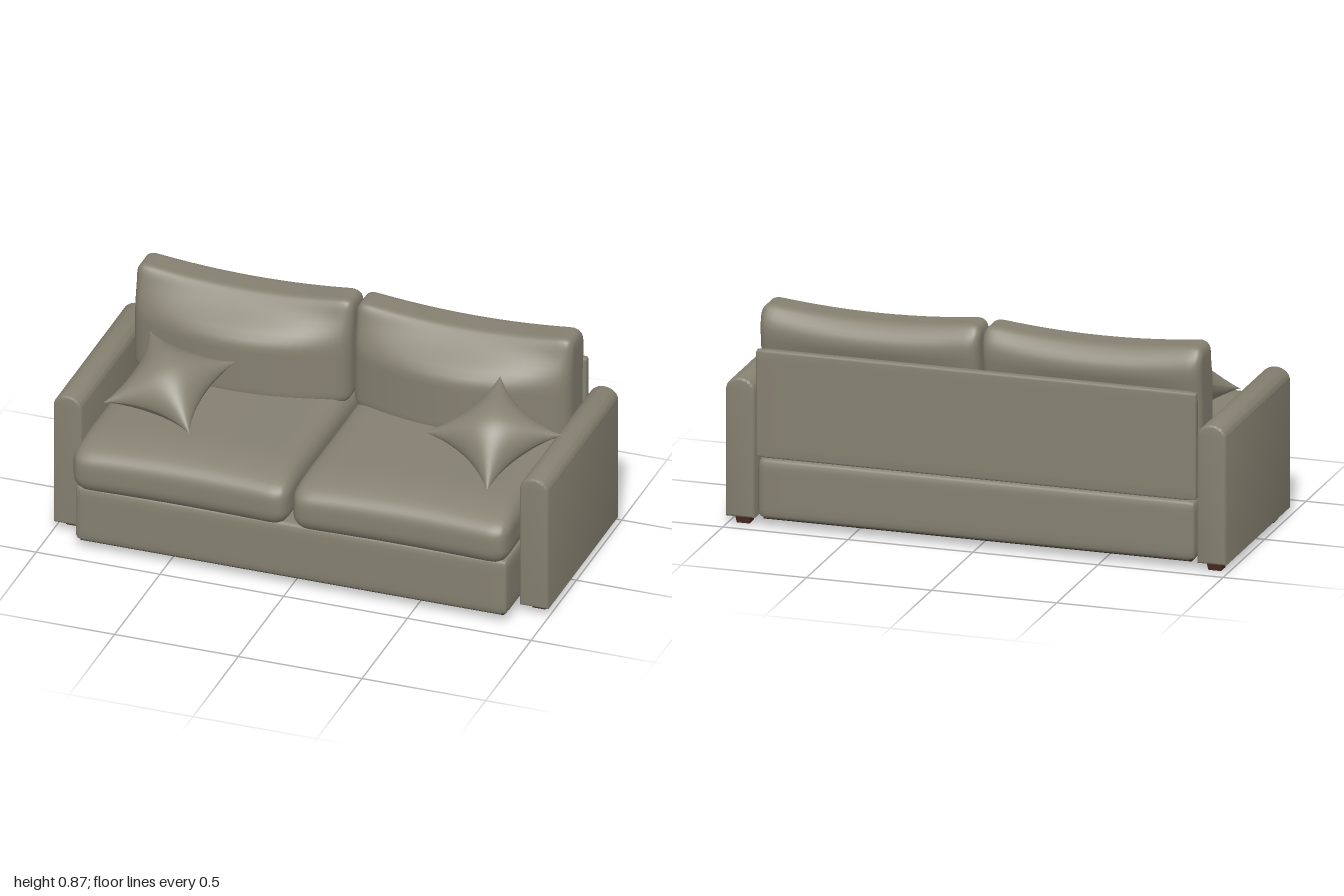
import * as THREE from 'three';
import { mergeVertices, mergeGeometries, toCreasedNormals } from 'three/addons/utils/BufferGeometryUtils.js';

const fabric = new THREE.MeshStandardMaterial({ color: 0x858070 });
fabric.name = 'taupe fabric';
const wood = new THREE.MeshStandardMaterial({ color: 0x4a2c22 });
wood.name = 'dark wood';
const lining = new THREE.MeshStandardMaterial({ color: 0x2e211b });
lining.name = 'underside lining';

const { clamp, lerp, smoothstep } = THREE.MathUtils;

// Rounded box with evenly curved, dense edges; warp(p, half) reshapes each point
function softBox(w, h, d, r, n, warp) {
  let geo = new THREE.BoxGeometry(2, 2, 2, n, n, n);
  geo.deleteAttribute('uv');
  geo.deleteAttribute('normal');
  geo = mergeVertices(geo, 1e-4);
  const half = new THREE.Vector3(w / 2, h / 2, d / 2);
  const pos = geo.attributes.position;
  const p = new THREE.Vector3();
  const q = new THREE.Vector3();
  for (let i = 0; i < pos.count; i++) {
    p.fromBufferAttribute(pos, i);
    for (const a of ['x', 'y', 'z']) {
      p[a] = Math.sin(p[a] * Math.PI / 2) * half[a];
      q[a] = clamp(p[a], r - half[a], half[a] - r);
    }
    p.sub(q).setLength(r).add(q);
    if (warp) warp(p, half);
    pos.setXYZ(i, p.x, p.y, p.z);
  }
  geo.computeVertexNormals();
  return geo;
}

function add(parent, name, geo, material, x = 0, y = 0, z = 0) {
  const mesh = new THREE.Mesh(geo, material);
  mesh.name = name;
  mesh.position.set(x, y, z);
  parent.add(mesh);
  return mesh;
}

// Upright slab with a domed top and a narrow bevel all round
function armGeometry() {
  const b = 0.01, w = 0.0575 - b, y0 = 0.035 + b, y1 = 0.54;
  const s = new THREE.Shape();
  s.moveTo(-w, y0);
  s.lineTo(w, y0);
  s.lineTo(w, y1);
  s.absellipse(0, y1, w, 0.59 - b - y1, 0, Math.PI, false);
  s.lineTo(-w, y0);
  const geo = new THREE.ExtrudeGeometry(s, {
    depth: 0.785 - 2 * b, bevelEnabled: true, bevelSize: b, bevelThickness: b,
    bevelSegments: 3, curveSegments: 20,
  });
  geo.translate(0, 0, -0.47 + b);
  return toCreasedNormals(geo, 0.7);
}

// Seat cushion: gently crowned, with a full rolled front edge
function seatWarp(p, half) {
  const u = p.x / half.x, v = p.y / half.y, w = p.z / half.z;
  const front = smoothstep(w, 0.55, 1);
  if (v > 0) p.y += 0.012 * v * (1 - u * u) - 0.025 * front * v;
  p.z += 0.012 * front * (u * u - 1) - 0.03 * front * v * Math.max(v, 0);
  p.x *= 1 - 0.012 * (1 - w * w);
}

// Back cushion: thick belly, thin crest, raised top corners
function backWarp(p, half) {
  const u = p.x / half.x, v = p.y / half.y, t = (p.z / half.z + 1) / 2;
  const y = p.y + 0.6575;
  const belly = 1 - u * u;
  const lean = smoothstep(y, 0.68, 0.87);
  const front = lerp(-0.235 - 0.03 * lean, -0.125 - 0.135 * lean, belly);
  const bump = Math.exp(-(((y - 0.77) / 0.07) ** 2));
  const back = -0.425 - 0.027 * bump * (0.4 + 0.6 * belly) + 0.02 * smoothstep(y, 0.8, 0.875);
  p.z = lerp(back, front, t);
  p.y -= 0.03 * belly * Math.max(v, 0);
}

// Throw pillow from its four corners in order: pinched tips, hollow edges
function pillowGeometry(corners, thickness) {
  const [A, B, C, D] = corners.map((c) => new THREE.Vector3(...c));
  const centre = A.clone().add(B).add(C).add(D).multiplyScalar(0.25);
  const d1 = A.clone().sub(C).multiplyScalar(0.25);
  const d2 = B.clone().sub(D).multiplyScalar(0.25);
  const es = d1.clone().add(d2);
  const et = d1.clone().sub(d2);
  const n = es.clone().cross(et).normalize();
  const sheets = [1, -1].map((side) => {
    const geo = new THREE.PlaneGeometry(2, 2, 24, 24);
    if (side < 0) geo.rotateY(Math.PI);
    const pos = geo.attributes.position;
    for (let i = 0; i < pos.count; i++) {
      const s = Math.sin(pos.getX(i) * Math.PI / 2);
      const t = Math.sin(pos.getY(i) * Math.PI / 2);
      const ss = Math.max(0, 1 - s * s), tt = Math.max(0, 1 - t * t);
      const p = centre.clone()
        .addScaledVector(es, s * (1 - 0.22 * tt))
        .addScaledVector(et, t * (1 - 0.22 * ss))
        .addScaledVector(n, side * thickness * (ss * tt) ** 0.6);
      pos.setXYZ(i, p.x, p.y, p.z);
    }
    geo.computeVertexNormals();
    return geo;
  });
  return mergeGeometries(sheets);
}

export function createModel() {
  const sofa = new THREE.Group();
  sofa.name = 'sofa';

  // Frame
  add(sofa, 'base', softBox(1.75, 0.245, 0.9, 0.03, 12), fabric, 0, 0.1575, -0.02);
  add(sofa, 'backPanel', softBox(1.76, 0.43, 0.036, 0.012, 10), fabric, 0, 0.495, -0.452);
  add(sofa, 'undersideLining', new THREE.BoxGeometry(1.71, 0.006, 0.85), lining, 0, 0.035, -0.02);

  const arm = armGeometry();
  const foot = new THREE.CylinderGeometry(0.046, 0.036, 0.038, 4).toNonIndexed();
  foot.rotateY(Math.PI / 4);
  foot.computeVertexNormals();
  const seat = softBox(0.878, 0.21, 0.9, 0.07, 20, seatWarp);
  const back = softBox(0.876, 0.435, 0.2, 0.045, 24, backWarp);

  // Mirrored parts
  for (const [side, x] of [['left', 1], ['right', -1]]) {
    add(sofa, side + 'Arm', arm, fabric, x * 0.9425);
    add(sofa, side + 'FrontFoot', foot, wood, x * 0.9425, 0.019, 0.23);
    add(sofa, side + 'BackFoot', foot, wood, x * 0.9425, 0.019, -0.402);
    add(sofa, side + 'SeatCushion', seat, fabric, x * 0.444, 0.365, 0.018);
    add(sofa, side + 'BackCushion', back, fabric, x * 0.444, 0.6575, 0);
  }

  // Throw pillows
  add(sofa, 'leftPillow', pillowGeometry(
    [[0.63, 0.74, -0.16], [0.94, 0.6, -0.02], [0.73, 0.48, 0.26], [0.43, 0.585, 0.11]], 0.105), fabric);
  add(sofa, 'rightPillow', pillowGeometry(
    [[-0.78, 0.66, -0.16], [-0.42, 0.62, -0.11], [-0.47, 0.485, 0.25], [-0.84, 0.525, 0.2]], 0.105), fabric);

  return sofa;
}
